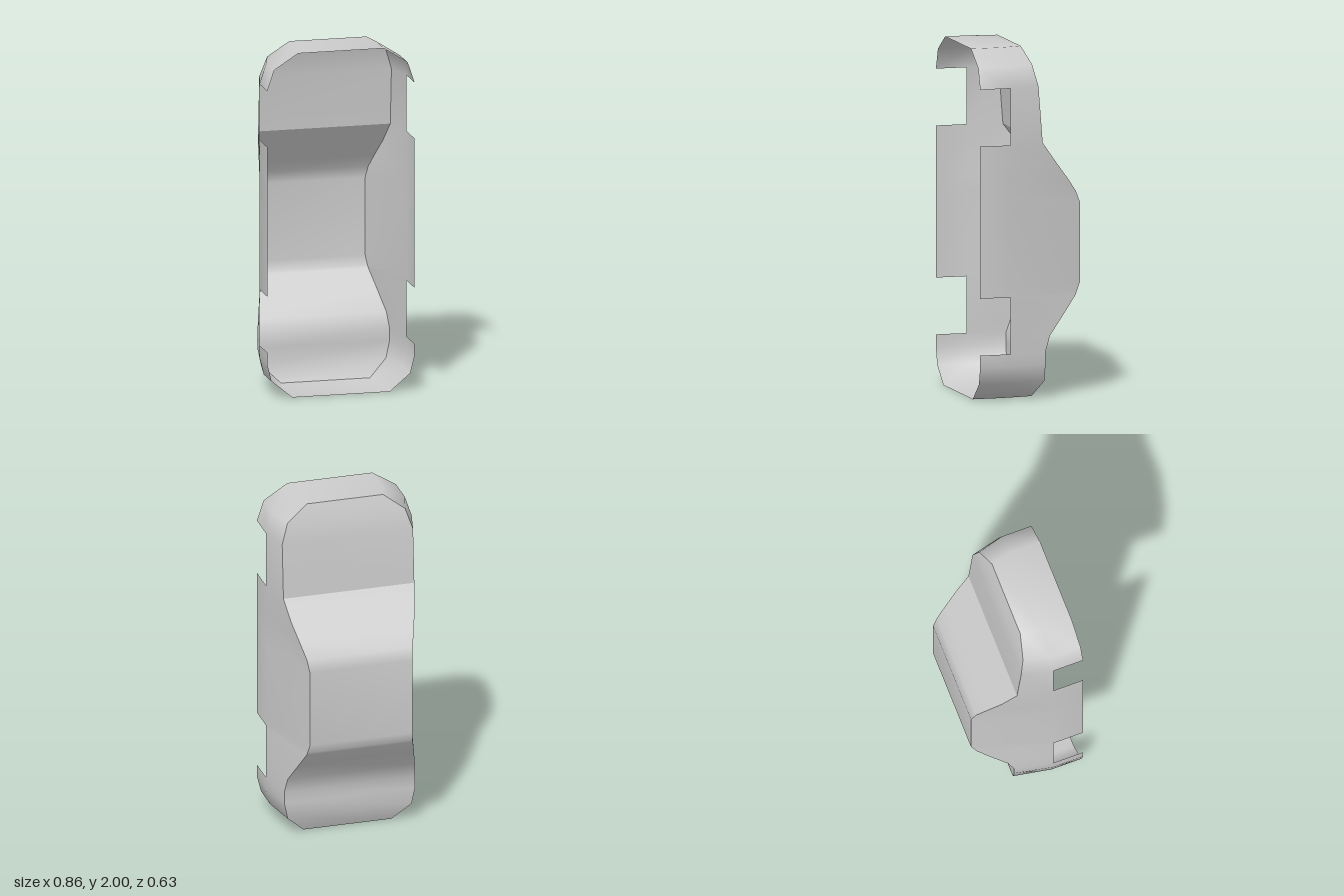
import * as THREE from 'three';

// Stations from tail to nose: [y, z of top surface, half width at top edge, half width at belt and rim]
const STATIONS = [
  [0, -0.04, 0.26, 0.285],
  [0.1, -0.085, 0.365, 0.405],
  [0.2, -0.085, 0.386, 0.43],
  [0.27, -0.085, 0.386, 0.43],
  [0.36, -0.115, 0.375, 0.43],
  [0.48, -0.21, 0.342, 0.43],
  [0.58, -0.287, 0.313, 0.43],
  [0.595, -0.292, 0.309, 0.43],
  [0.65, -0.315, 0.302, 0.43],
  [1.1, -0.315, 0.302, 0.43],
  [1.17, -0.287, 0.312, 0.43],
  [1.25, -0.23, 0.335, 0.43],
  [1.35, -0.152, 0.364, 0.43],
  [1.465, -0.068, 0.386, 0.43],
  [1.79, -0.043, 0.386, 0.43],
  [1.91, -0.017, 0.347, 0.39],
  [2, 0.013, 0.225, 0.25],
];
const RIM_Z = 0.315, BELT_Z = 0.135;
const ARCHES = [[0.27, 0.595], [1.465, 1.79]]; // wheel cut-outs

const material = new THREE.MeshStandardMaterial({ color: 0xcccccc, side: THREE.DoubleSide });

function makeMesh(name, positions, indices) {
  const geometry = new THREE.BufferGeometry();
  geometry.setAttribute('position', new THREE.Float32BufferAttribute(positions, 3));
  geometry.setIndex(indices);
  geometry.computeVertexNormals();
  const mesh = new THREE.Mesh(geometry, material);
  mesh.name = name;
  return mesh;
}

// Band running from one side to the other over a range of stations
function topPanel(name, first, last) {
  const positions = [], indices = [];
  STATIONS.slice(first, last + 1).forEach(([y, z, edge], i) => {
    positions.push(edge, y, z, -edge, y, z);
    if (i > 0) {
      const a = 2 * (i - 1);
      indices.push(a, a + 1, a + 2, a + 1, a + 3, a + 2);
    }
  });
  return makeMesh(name, positions, indices);
}

// Closed wall: up the left side, across the nose, down the right side, across the tail
function sideWall() {
  const ring = [
    ...STATIONS.map((s) => [1, ...s]),
    ...[...STATIONS].reverse().map((s) => [-1, ...s]),
  ];
  const positions = [], indices = [];
  ring.forEach(([side, y, z, edge, belt], i) => {
    positions.push(side * belt, y, RIM_Z, side * belt, y, BELT_Z, side * edge, y, z);
    const next = (i + 1) % ring.length;
    const middle = (y + ring[next][1]) / 2;
    const inArch = ARCHES.some(([low, high]) => middle > low && middle < high);
    for (let row = inArch ? 1 : 0; row < 2; row++) {
      const a = 3 * i + row, b = 3 * next + row;
      indices.push(a, a + 1, b, a + 1, b + 1, b);
    }
  });
  return makeMesh('sideWall', positions, indices);
}

export function createModel() {
  const group = new THREE.Group();
  group.name = 'carBodyShell';
  const windscreenBase = STATIONS.findIndex((s) => s[0] === 1.465);
  group.add(
    sideWall(),
    topPanel('roofAndTail', 0, windscreenBase),
    topPanel('hood', windscreenBase, STATIONS.length - 1),
  );
  return group;
}
